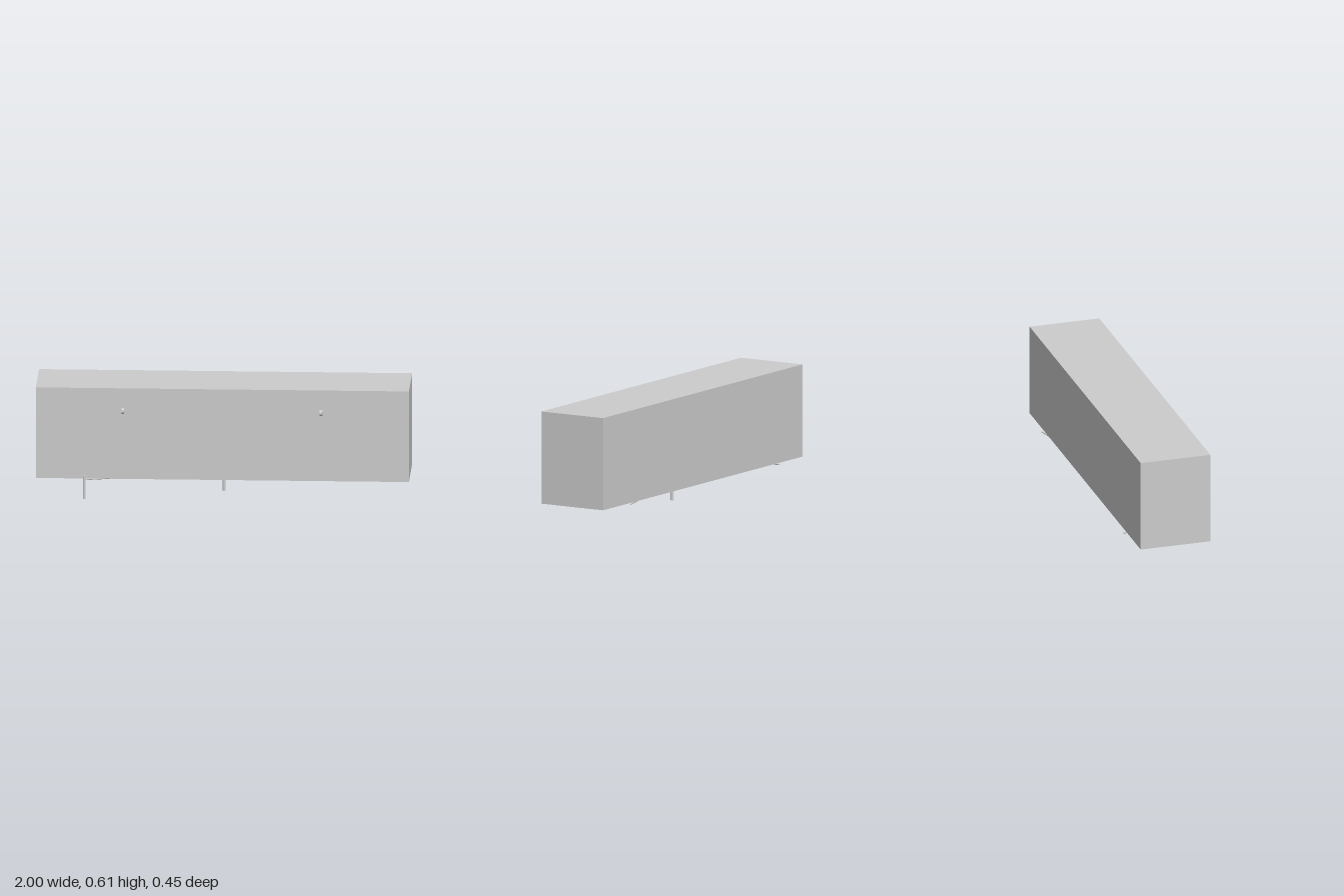
import * as THREE from 'three';

const material = new THREE.MeshStandardMaterial({ color: 0xcccccc });

export function createModel() {
  const model = new THREE.Group();

  const add = (name, geometry, x, y, z) => {
    const mesh = new THREE.Mesh(geometry, material);
    mesh.name = name;
    mesh.position.set(x, y, z);
    model.add(mesh);
    return mesh;
  };

  // Round bar between two points
  const rod = (name, from, to, radius) => {
    const a = new THREE.Vector3(...from);
    const b = new THREE.Vector3(...to);
    const dir = b.clone().sub(a);
    const mid = a.clone().add(b).multiplyScalar(0.5);
    const mesh = add(name, new THREE.CylinderGeometry(radius, radius, dir.length(), 20), mid.x, mid.y, mid.z);
    mesh.quaternion.setFromUnitVectors(new THREE.Vector3(0, 1, 0), dir.normalize());
  };

  // Long cabinet body
  add('body', new THREE.BoxGeometry(2, 0.501, 0.391), 0, 0.3595, -0.0115);

  // Disc knobs on short stems
  for (const x of [-0.533, 0.53]) {
    rod('knobStem', [x, 0.492, 0.18], [x, 0.492, 0.2], 0.004);
    rod('knob', [x - 0.007, 0.492, 0.208], [x + 0.007, 0.492, 0.208], 0.0165);
  }

  // Legs
  rod('cornerLeg', [-0.74, 0, 0.192], [-0.74, 0.126, 0.192], 0.0075);
  rod('centreLeg', [0, 0, -0.012], [0, 0.108, -0.012], 0.0075);

  // Bracing under the body
  const y = 0.1055;
  rod('diagonalBrace', [-0.74, y, 0.192], [0.74, y, -0.219], 0.004);
  rod('endBrace', [-0.74, y, 0.192], [-0.74, y, -0.222], 0.004);
  rod('centreCrossBar', [-0.08, y + 0.002, -0.03], [0.08, y + 0.002, 0.013], 0.003);
  for (const [x, z] of [[-0.64, 0.163], [-0.56, 0.142]]) {
    rod('floorBar', [x, y + 0.002, z], [x, y + 0.002, -0.18], 0.003);
  }

  return model;
}
